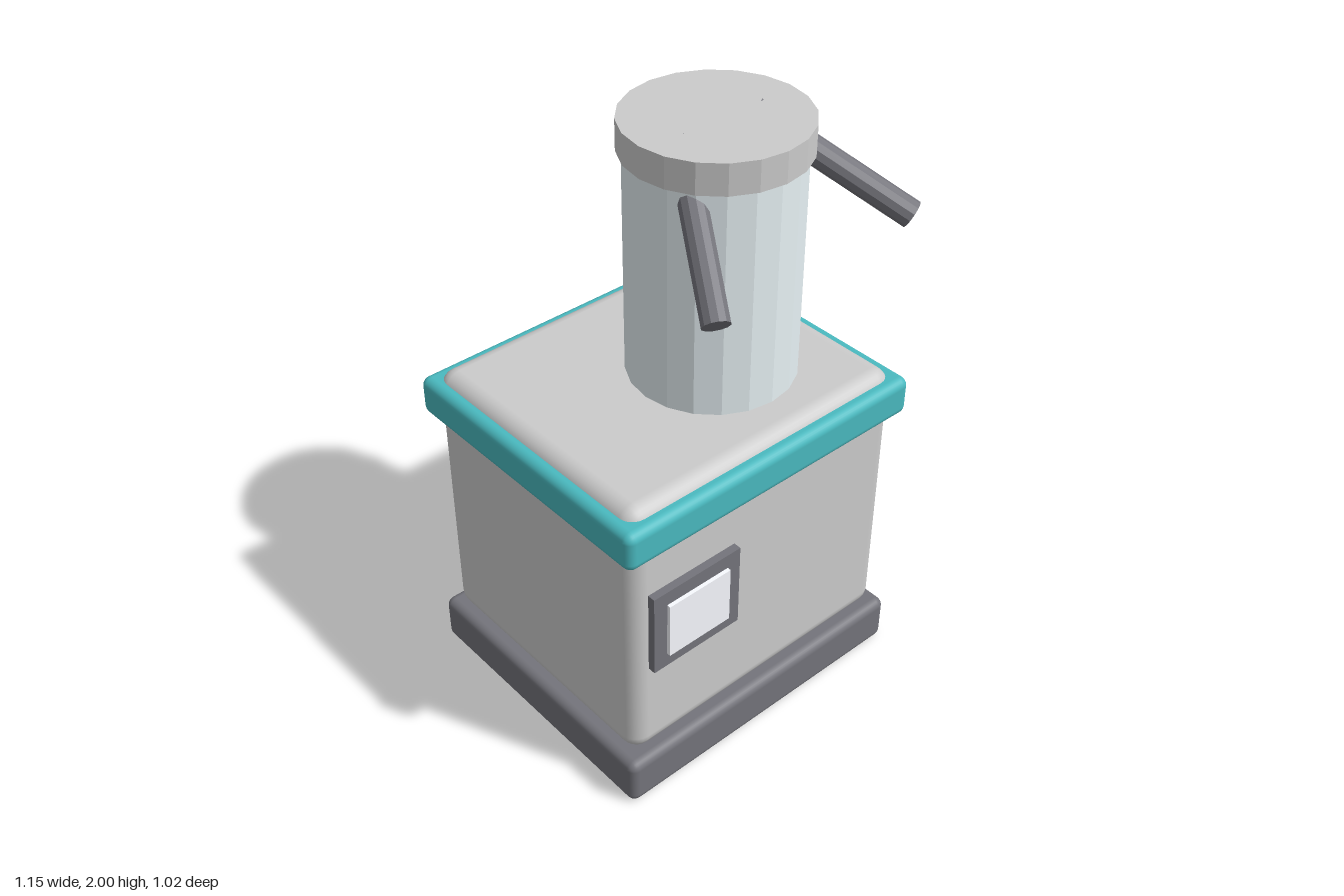
import * as THREE from 'three';
import { RoundedBoxGeometry } from 'three/addons/geometries/RoundedBoxGeometry.js';

export function createModel() {
  const group = new THREE.Group();
  const mat = (color, flatShading = false) => {
    const m = new THREE.MeshStandardMaterial({ color });
    m.flatShading = flatShading;
    return m;
  };
  const grey = mat(0xcccccc), dark = mat(0x74747b), teal = mat(0x4abac0);

  const add = (name, geometry, material, x, y, z) => {
    const mesh = new THREE.Mesh(geometry, material);
    mesh.name = name;
    mesh.position.set(x, y, z);
    group.add(mesh);
    return mesh;
  };
  // Rounded box standing between two heights
  const slab = (name, w, d, y0, y1, r, material) =>
    add(name, new RoundedBoxGeometry(w, y1 - y0, d, 3, r), material, -0.003, (y0 + y1) / 2, -0.004);

  // Housing: plinth, body and coloured rim
  slab('base', 1.146, 1.01, 0, 0.17, 0.03, dark);
  slab('body', 1.08, 0.945, 0.17, 1.15, 0.06, grey);
  slab('rim', 1.146, 1.01, 0.985, 1.12, 0.03, teal);

  // Display on the front
  add('displayFrame', new THREE.BoxGeometry(0.34, 0.3, 0.06), dark, -0.31, 0.68, 0.465);
  add('displayPanel', new THREE.BoxGeometry(0.24, 0.2, 0.06), mat(0xf8faff), -0.31, 0.68, 0.478);

  // Faceted column with its lid
  const cx = 0.13, cz = 0.064;
  add('column', new THREE.CylinderGeometry(0.27, 0.27, 0.8, 20), mat(0xe6f1f4, true), cx, 1.5, cz);
  add('lid', new THREE.CylinderGeometry(0.286, 0.286, 0.1, 20), mat(0xcccccc, true), cx, 1.95, cz);

  // Spouts sloping forward and down from inside the lid
  const spout = (name, from, to) => {
    const a = new THREE.Vector3(...from), b = new THREE.Vector3(...to);
    const dir = b.clone().sub(a), mid = a.clone().add(b).multiplyScalar(0.5);
    const mesh = add(name, new THREE.CylinderGeometry(0.043, 0.043, dir.length(), 12),
      mat(0x74747b, true), mid.x, mid.y, mid.z);
    mesh.quaternion.setFromUnitVectors(new THREE.Vector3(0, 1, 0), dir.normalize());
  };
  spout('leftSpout', [0.275, 1.965, 0.066], [0.533, 1.7, 0.465]);
  spout('rightSpout', [-0.006, 1.967, 0.066], [-0.207, 1.63, 0.438]);

  return group;
}
